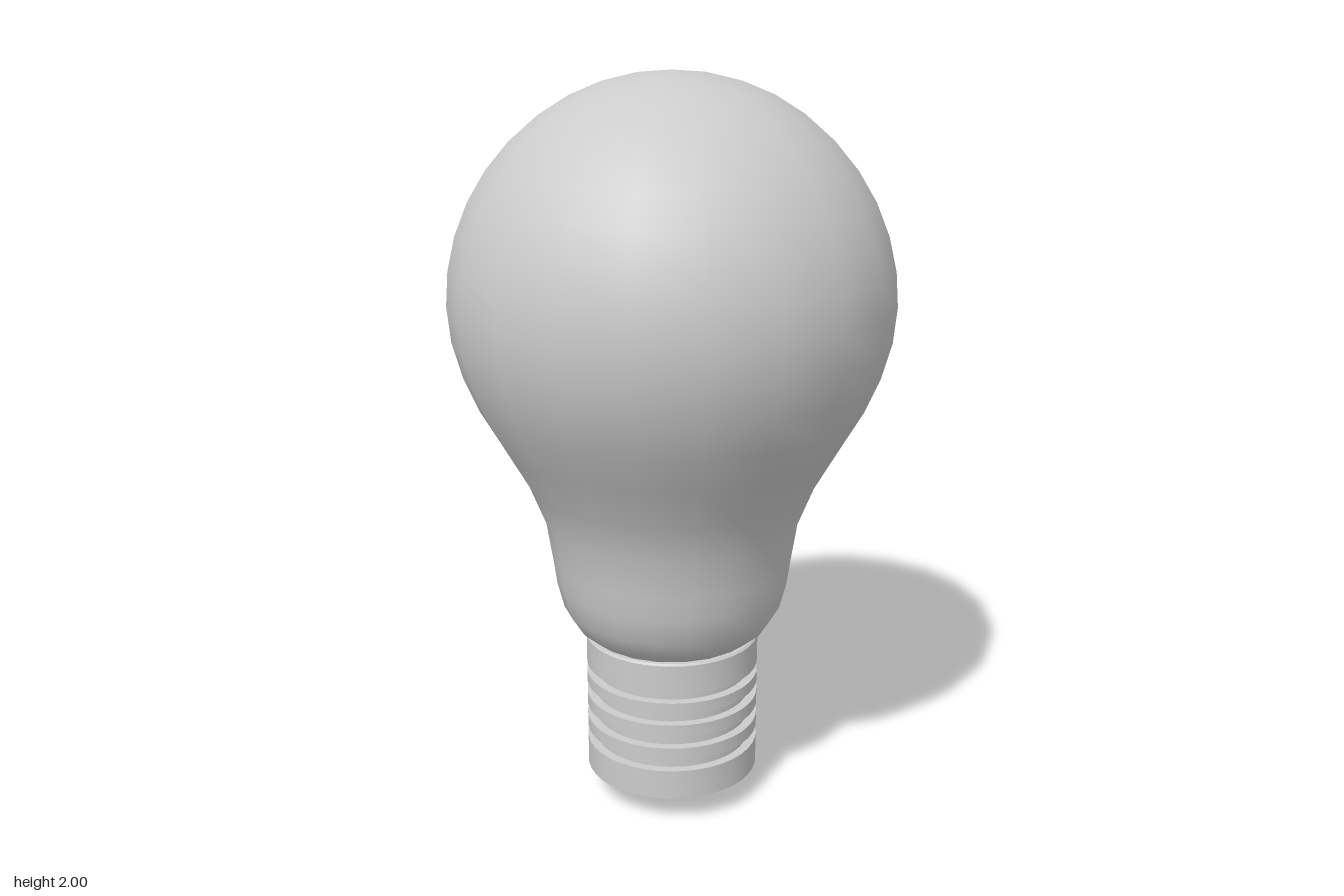
import * as THREE from 'three';
import { toCreasedNormals } from 'three/addons/utils/BufferGeometryUtils.js';

const material = new THREE.MeshStandardMaterial({ color: 0xcccccc });

// Spin a profile of [radius, height] pairs, listed from bottom to top
function turned(name, profile, sides, creased) {
  const points = profile.map(([r, y]) => new THREE.Vector2(r, y));
  let geometry = new THREE.LatheGeometry(points, sides);
  if (creased) geometry = toCreasedNormals(geometry, 0.5);
  const mesh = new THREE.Mesh(geometry, material);
  mesh.name = name;
  return mesh;
}

export function createModel() {
  const bulb = new THREE.Group();
  bulb.name = 'lightBulb';

  // Glass: flared neck running into a round dome
  const glass = [
    [0.225, 0.48], [0.265, 0.51], [0.3, 0.565], [0.318, 0.635], [0.327, 0.7], [0.344, 0.81],
    [0.386, 0.915], [0.452, 1.03], [0.51, 1.13], [0.551, 1.225], [0.577, 1.32],
  ];
  const radius = 0.586, centre = 1.414, rings = 10;
  for (let i = 0; i <= rings; i++) {
    const a = (i / rings) * Math.PI / 2;
    glass.push([i === rings ? 0 : radius * Math.cos(a), centre + radius * Math.sin(a)]);
  }
  bulb.add(turned('glass', glass, 20, false));

  // Screw cap: a cylinder cut by four square grooves
  const outer = 0.24, inner = 0.215;
  const cap = [[0, 0.08], [outer, 0.08]];
  for (const [low, high] of [[0.163, 0.195], [0.232, 0.264], [0.301, 0.333], [0.366, 0.392]]) {
    cap.push([outer, low], [inner, low], [inner, high], [outer, high]);
  }
  cap.push([outer, 0.475], [0.235, 0.48], [0, 0.48]);
  bulb.add(turned('screwCap', cap, 40, true));

  // Tapered contact under the cap
  const contact = [[0, 0], [0.07, 0], [0.092, 0.015], [0.155, 0.08], [0, 0.08]];
  bulb.add(turned('contact', contact, 32, true));

  return bulb;
}
